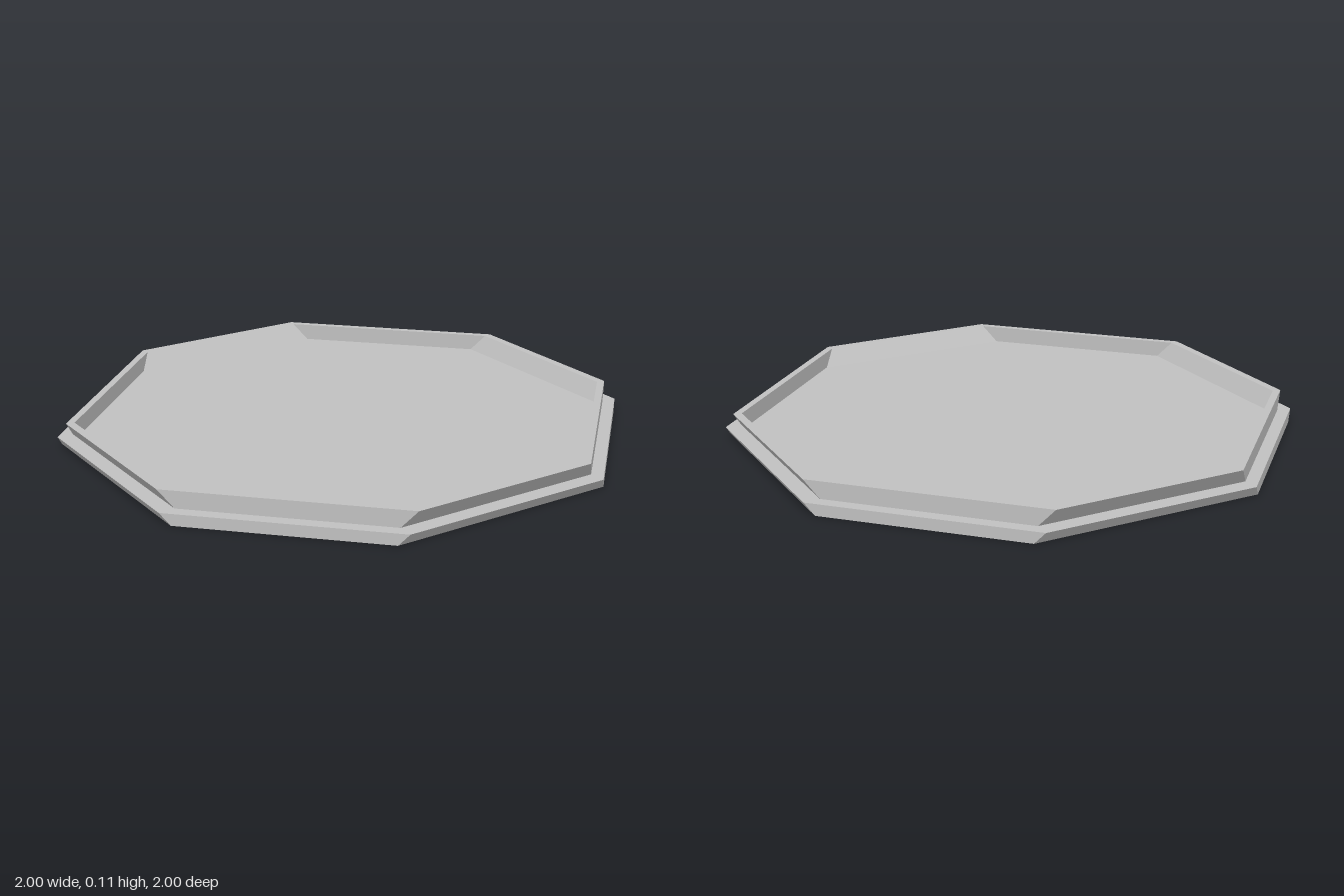
import * as THREE from 'three';

// Octagon at height y: half-width h, corner offset c along each straight side
const octagon = (h, c, y) =>
  [[c, h], [h, c], [h, -c], [c, -h], [-c, -h], [-h, -c], [-h, c], [-c, h]]
    .map(([x, z]) => [x, y, z]);

// Flat-faced surface through a list of octagon rings [h, c, y]
function loft(sections) {
  const rings = sections.map(s => octagon(...s));
  const pos = [];
  for (let i = 0; i < rings.length - 1; i++) {
    for (let j = 0; j < 8; j++) {
      const k = (j + 1) % 8;
      const a = rings[i][j], b = rings[i][k], c = rings[i + 1][k], d = rings[i + 1][j];
      if (sections[i][0] > 0) pos.push(...a, ...b, ...c);
      if (sections[i + 1][0] > 0) pos.push(...a, ...c, ...d);
    }
  }
  const geo = new THREE.BufferGeometry();
  geo.setAttribute('position', new THREE.Float32BufferAttribute(pos, 3));
  geo.computeVertexNormals();
  return geo;
}

export function createModel() {
  const group = new THREE.Group();
  const grey = new THREE.MeshStandardMaterial({ color: 0xc0c0c0 });
  grey.name = 'light grey';

  const add = (name, sections) => {
    const mesh = new THREE.Mesh(loft(sections), grey);
    mesh.name = name;
    group.add(mesh);
  };

  const floorY = 0.043, topY = 0.107;

  // Solid slab: straight sides are vertical, diagonal sides lean outward
  add('basePlate', [[0, 0, 0], [1, 0.38, 0], [1, 0.42, floorY], [0, 0, floorY]]);

  // Thin raised wall with the same leaning diagonals, inside and out
  add('rimWall', [
    [0.955, 0.38, floorY], [0.955, 0.44, topY],
    [0.928, 0.423, topY], [0.928, 0.362, floorY],
  ]);

  return group;
}
